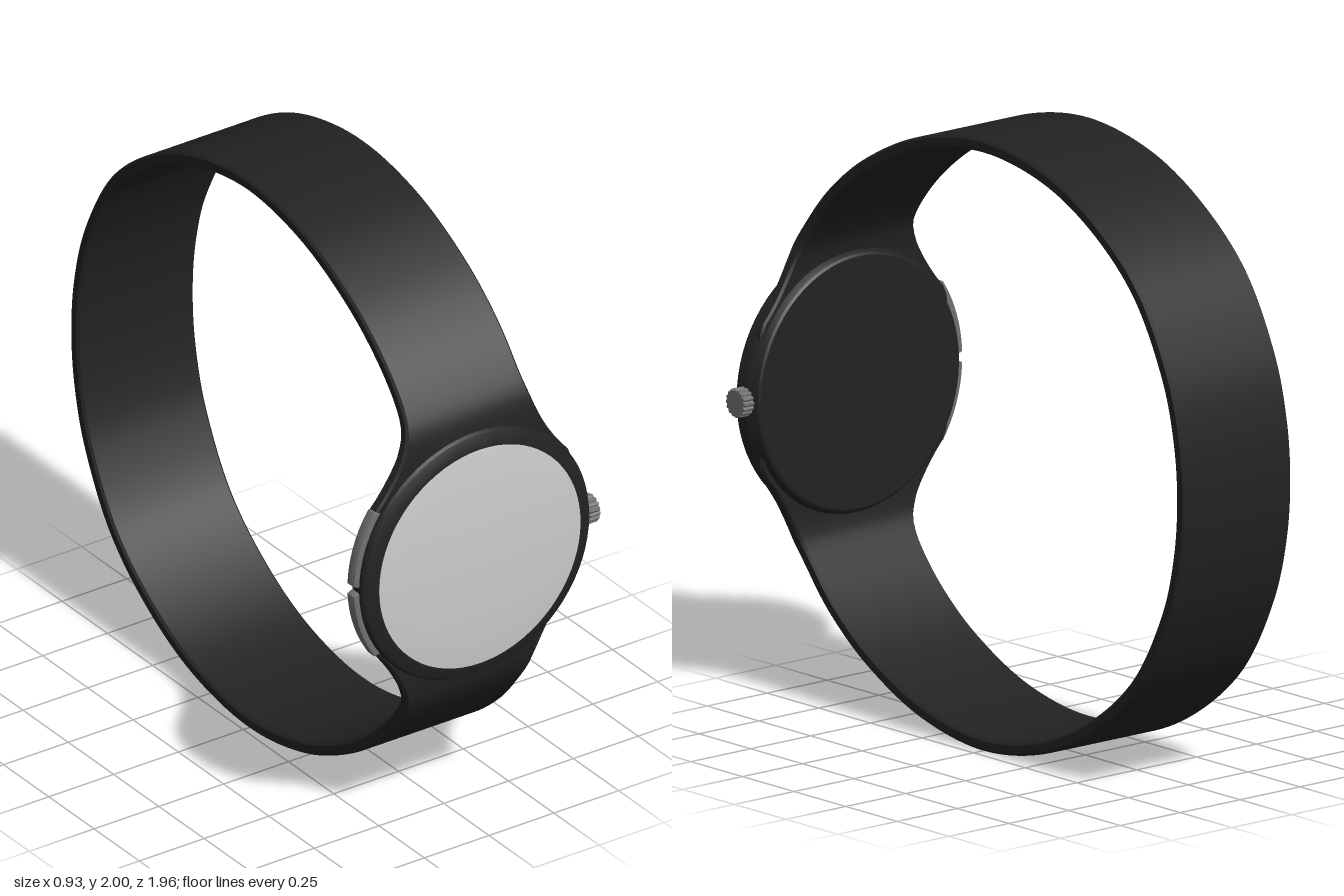
import * as THREE from 'three';
import { toCreasedNormals } from 'three/addons/utils/BufferGeometryUtils.js';

const CX = -0.009, CY = 1.005; // centre of the watch face

function mat(name, color) {
  const m = new THREE.MeshStandardMaterial({ color });
  m.name = name;
  return m;
}

// Profile of [radius, z] pairs, from back to front, turned around the z axis
function turned(profile, crease) {
  const g = new THREE.LatheGeometry(profile.map(([r, z]) => new THREE.Vector2(r, z)), 72);
  g.rotateX(Math.PI / 2);
  return toCreasedNormals(g, crease);
}

// Strap: a chamfered band swept round the wrist, flaring where it meets the case
function strapGeometry() {
  const half = [[0.915, 0.15], [0.918, 0.3], [0.915, 0.43], [0.88, 0.53], [0.75, 0.688], [0.56, 0.832],
    [0.3, 0.95], [0, 0.998], [-0.3, 0.95], [-0.55, 0.83], [-0.76, 0.65], [-0.9, 0.41], [-0.962, 0.2]];
  const lower = half.map(([z, d]) => [z, -d]).reverse();
  const path = new THREE.SplineCurve([...half, [-0.98, 0], ...lower].map(([z, d]) => new THREE.Vector2(z, d)));
  const N = 180, T = 0.042, c = 0.008;
  const pos = [], idx = [];
  for (let i = 0; i <= N; i++) {
    const p = path.getPointAt(i / N), t = path.getTangentAt(i / N);
    const d = Math.abs(p.y);
    let w = 0.225;
    if (p.x > 0 && d < 0.6) w = Math.min(w + 0.231 * ((0.6 - d) / 0.43) ** 2.1, 0.39);
    const ring = [[w, -T + c], [w, -c], [w - c, 0], [c - w, 0], [-w, -c], [-w, -T + c], [c - w, -T], [w - c, -T]];
    for (const [x, v] of ring) pos.push(CX + x, 1.002 + p.y - t.x * v, p.x + t.y * v);
  }
  for (let i = 0; i < N; i++) {
    for (let k = 0; k < 8; k++) {
      const a = i * 8 + k, b = i * 8 + (k + 1) % 8;
      idx.push(a, a + 8, b, b, a + 8, b + 8);
    }
  }
  // End caps
  for (let k = 1; k < 7; k++) {
    idx.push(0, k, k + 1);
    idx.push(N * 8, N * 8 + k + 1, N * 8 + k);
  }
  const g = new THREE.BufferGeometry();
  g.setAttribute('position', new THREE.Float32BufferAttribute(pos, 3));
  g.setIndex(idx);
  return toCreasedNormals(g, 0.6);
}

// Side button: an arc-shaped slab hugging the case between two angles
function buttonGeometry(from, to) {
  const s = new THREE.Shape();
  s.absarc(0, 0, 0.455, from + 0.025, to - 0.025, false);
  s.absarc(0, 0, 0.43, to, from, true);
  s.closePath();
  const g = new THREE.ExtrudeGeometry(s, {
    depth: 0.032, curveSegments: 24, bevelThickness: 0.004, bevelSize: 0.004, bevelSegments: 2,
  });
  g.translate(0, 0, 0.889);
  return toCreasedNormals(g, 0.6);
}

// Crown knob: a ribbed disc, extruded along +x
function crownGeometry() {
  const s = new THREE.Shape();
  const teeth = 16;
  for (let i = 0; i < teeth * 4; i++) {
    const a = (i / (teeth * 4)) * Math.PI * 2;
    const r = i % 4 < 2 ? 0.045 : 0.04;
    if (i === 0) s.moveTo(r, 0);
    else s.lineTo(r * Math.cos(a), r * Math.sin(a));
  }
  s.closePath();
  const g = new THREE.ExtrudeGeometry(s, {
    depth: 0.034, bevelThickness: 0.004, bevelSize: 0.003, bevelSegments: 1,
  });
  g.rotateY(Math.PI / 2);
  return toCreasedNormals(g, 0.4);
}

export function createModel() {
  const black = mat('black rubber', 0x222222);
  const white = mat('pale dial', 0xcccccc);
  const grey = mat('grey metal', 0x707070);

  const model = new THREE.Group();
  model.name = 'wristwatch';
  const add = (parent, name, geometry, material) => {
    const mesh = new THREE.Mesh(geometry, material);
    mesh.name = name;
    parent.add(mesh);
    return mesh;
  };

  add(model, 'strap', strapGeometry(), black);

  const head = new THREE.Group();
  head.name = 'watchHead';
  head.position.set(CX, CY, 0);
  model.add(head);

  // Case with tapered back and sloping bezel
  add(head, 'case', turned([[0, 0.853], [0.412, 0.853], [0.42, 0.858], [0.438, 0.89], [0.44, 0.9],
    [0.44, 0.935], [0.434, 0.945], [0.395, 0.961], [0.388, 0.961], [0.386, 0.955], [0, 0.955]], 0.45), black);

  // Domed face
  const dome = [[0.388, 0.955], [0.388, 0.963]];
  for (let i = 1; i <= 8; i++) {
    const r = 0.385 * (1 - i / 8);
    dome.push([r, 0.981 - 0.016 * (r / 0.385) ** 2]);
  }
  add(head, 'dial', turned(dome, 0.6), white);

  // Two buttons on the right side of the watch
  add(head, 'upperButton', buttonGeometry(Math.PI - 0.62, Math.PI - 0.02), grey);
  add(head, 'lowerButton', buttonGeometry(Math.PI + 0.02, Math.PI + 0.62), grey);

  // Crown and its stem on the left side
  const crown = add(head, 'crown', crownGeometry(), grey);
  crown.position.set(0.436, 0, 0.906);
  const stem = add(head, 'crownStem', new THREE.CylinderGeometry(0.028, 0.028, 0.05, 20), grey);
  stem.rotation.z = Math.PI / 2;
  stem.position.set(0.425, 0, 0.906);

  return model;
}
